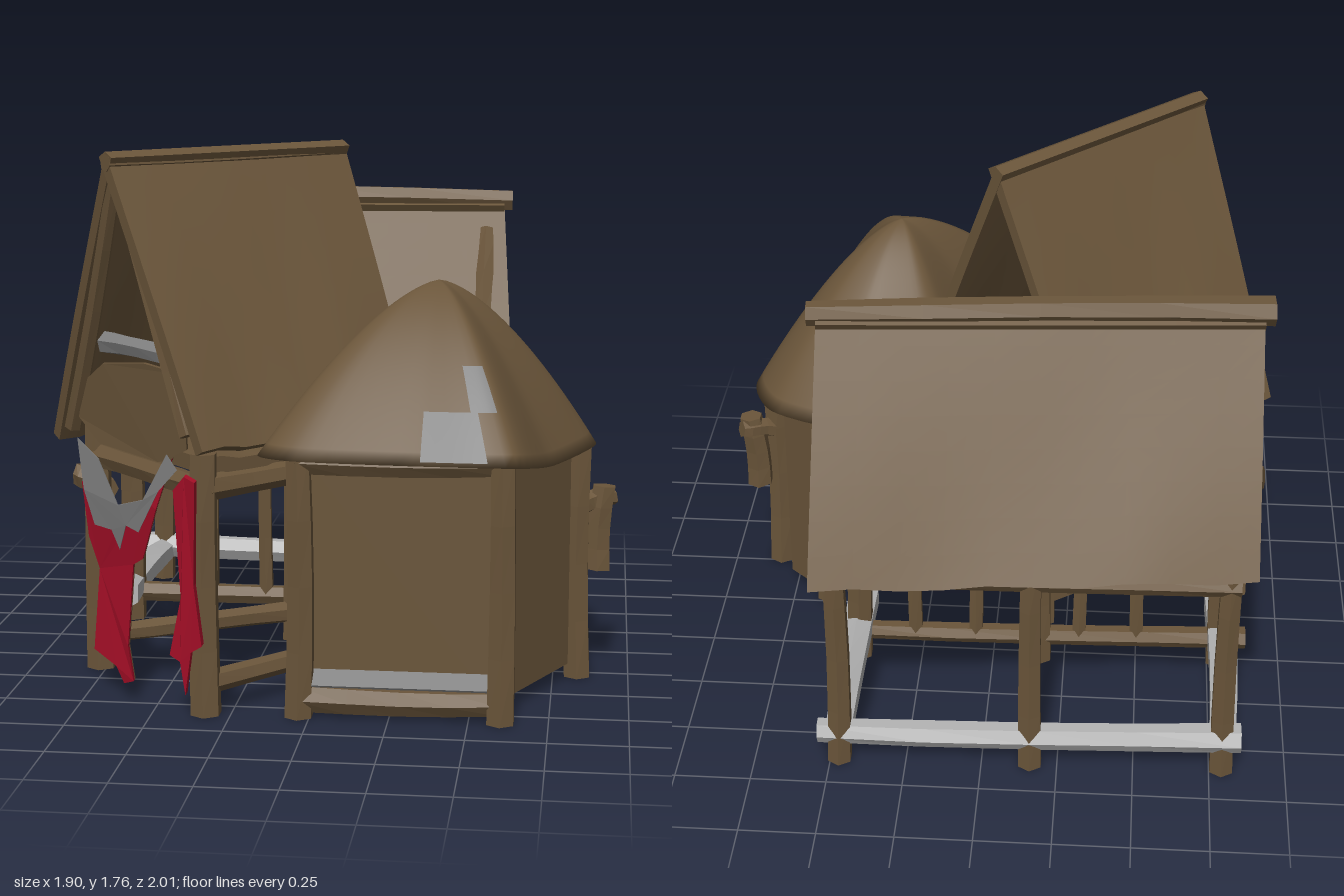
import * as THREE from 'three';

const flat = (name, color, extra = {}) => {
  const m = new THREE.MeshStandardMaterial({ color, ...extra });
  m.name = name;
  return m;
};
const V = (p) => new THREE.Vector3(...p);

export function createModel() {
  const model = new THREE.Group();
  model.name = 'village';
  const wood = flat('brown', 0x6a553a);
  const thatch = flat('thatch brown', 0x6a553a, { side: THREE.DoubleSide });
  const red = flat('red cloth', 0xa80f28, { side: THREE.DoubleSide });
  const grey = flat('grey cloth', 0x808080, { side: THREE.DoubleSide });
  const pale = flat('pale grey', 0xb4b4b4);

  const add = (parent, name, geo, mat) => {
    const mesh = new THREE.Mesh(geo, mat);
    mesh.name = name;
    parent.add(mesh);
    return mesh;
  };
  const part = (name) => {
    const g = new THREE.Group();
    g.name = name;
    model.add(g);
    return g;
  };

  // Rough timber between two points, slightly swollen and bent
  const beam = (parent, name, a, b, r, mat = wood) => {
    const A = V(a), dir = V(b).sub(A), len = dir.length();
    const geo = new THREE.CylinderGeometry(r * 0.92, r * 1.08, len, 6, 4).toNonIndexed();
    const p = geo.attributes.position;
    for (let i = 0; i < p.count; i++) {
      const t = p.getY(i) / len + 0.5;
      const bend = Math.sin(t * Math.PI) * r * 0.2 * Math.sin(a[0] * 17 + a[2] * 11);
      p.setX(i, p.getX(i) + bend);
      p.setZ(i, p.getZ(i) * (1 + 0.08 * Math.cos(t * 9)));
    }
    geo.computeVertexNormals();
    const mesh = add(parent, name, geo, mat);
    mesh.position.copy(A).addScaledVector(dir, 0.5);
    mesh.quaternion.setFromUnitVectors(new THREE.Vector3(0, 1, 0), dir.normalize());
    return mesh;
  };

  // Slightly wavy roof slab: a-b is the ridge, c-d the eave
  const slab = (parent, name, a, b, c, d, th, wave = 0.008) => {
    const [A, B, C, D] = [a, b, c, d].map(V);
    const n = C.clone().sub(A).cross(B.clone().sub(A)).normalize();
    const geo = new THREE.BoxGeometry(1, 1, 1, 10, 1, 8);
    const p = geo.attributes.position;
    for (let i = 0; i < p.count; i++) {
      const u = p.getX(i) + 0.5, v = p.getZ(i) + 0.5;
      const top = A.clone().lerp(B, u), low = C.clone().lerp(D, u);
      const lift = (p.getY(i) - 0.5) * th + wave * v * Math.sin(u * 7 + v * 3);
      top.lerp(low, v).addScaledVector(n, lift);
      top.y += v * wave * Math.sin(u * 19);
      p.setXYZ(i, top.x, top.y, top.z);
    }
    geo.computeVertexNormals();
    return add(parent, name, geo, wood);
  };

  // ---- Long open barn at the back ----
  const barn = part('barn');
  const ridgeL = [-0.86, 1.52, -0.48], ridgeR = [0.53, 1.52, -0.57];
  slab(barn, 'barnRoofFront', ridgeL, ridgeR, [-0.84, 0.79, -0.01], [0.59, 0.81, -0.14], 0.05);
  slab(barn, 'barnRoofBack', ridgeR, ridgeL, [0.53, 0.76, -1.0], [-0.87, 0.8, -0.91], 0.05);
  beam(barn, 'barnRidgePole', [-0.89, 1.52, -0.475], [0.56, 1.51, -0.57], 0.043);
  const front = (x) => -0.28 - 0.03 * x, back = (x) => -0.86 - 0.02 * x;
  for (const x of [-0.79, -0.16, 0.47]) {
    beam(barn, 'barnPost', [x, 0, front(x)], [x, 0.95, front(x)], 0.045);
    beam(barn, 'barnPost', [x, 0, back(x)], [x, 0.84, back(x)], 0.04);
    beam(barn, 'barnTieBeam', [x, 0.69, front(x)], [x, 0.73, back(x)], 0.052);
  }
  for (const x of [-0.5, -0.3, 0.06, 0.27]) {
    beam(barn, 'barnThinPost', [x, 0.1, front(x)], [x, 0.95, front(x)], 0.025);
  }
  for (const x of [-0.79, 0.47]) {
    const zr = -0.51 - 0.05 * x;
    beam(barn, 'barnSideSill', [x, 0.13, front(x) + 0.16], [x, 0.11, back(x)], 0.054, pale);
    for (const dz of [0.37, -0.37]) {
      beam(barn, 'barnRafter', [x, 0.79, zr + dz], [x, 1.4, zr], 0.055);
      beam(barn, 'barnBrace', [x, 0.78, zr + dz * 0.8], [x, 1.22, zr + dz * 0.2], 0.035);
    }
  }
  beam(barn, 'barnBackSill', [-0.85, 0.13, back(-0.8)], [0.54, 0.11, back(0.5)], 0.045, pale);
  beam(barn, 'barnFrontSill', [-0.88, 0.1, front(-0.8)], [0.5, 0.1, front(0.5)], 0.035);
  beam(barn, 'barnFrontPlate', [-0.82, 0.76, front(-0.8)], [0.52, 0.76, front(0.5)], 0.04);
  beam(barn, 'barnBackPlate', [-0.82, 0.74, back(-0.8)], [0.52, 0.74, back(0.5)], 0.035);
  // Grey patch on both faces of the front slope
  for (const side of [0.006, -0.056]) {
    const patch = add(barn, 'barnRoofPatch', new THREE.BoxGeometry(0.08, 0.008, 0.1), grey);
    patch.position.set(0.35, 0.94 + side * 0.51, -0.2 + side * 0.86);
    patch.rotation.x = 1.03;
  }

  // ---- Tall steep-roofed house, set diagonally ----
  const house = part('tallHouse');
  const hF = [-0.66, 1.76, 0.67], hB = [0.01, 1.76, 0.0];
  slab(house, 'houseRoofRight', hF, hB, [-0.31, 0.87, 0.96], [0.29, 0.87, 0.28], 0.04);
  slab(house, 'houseRoofLeft', hB, hF, [-0.33, 0.85, -0.3], [-0.95, 0.78, 0.25], 0.04);
  beam(house, 'houseRidge', [-0.66, 1.725, 0.67], [0.01, 1.725, 0.0], 0.026);
  const feet = [[-0.77, 0.36], [-0.33, 0.83], [0.15, 0.32], [-0.16, -0.05]];
  feet.forEach(([x, z], i) => {
    const [nx, nz] = feet[(i + 1) % 4];
    beam(house, 'housePost', [x, 0, z], [x, 0.84, z], 0.048);
    beam(house, 'housePlate', [x, 0.73, z], [nx, 0.73, nz], 0.04);
    if (i !== 0) beam(house, 'houseSill', [x, 0.1, z], [nx, 0.11, nz], 0.035);
  });
  beam(house, 'gableTie', [-0.72, 1.12, 0.42], [-0.4, 1.12, 0.74], 0.035, grey);
  beam(house, 'gableTieBack', [-0.24, 1.12, -0.1], [0.13, 1.12, 0.22], 0.035);
  beam(house, 'gableRafter', [-0.86, 0.82, 0.33], [-0.64, 1.66, 0.64], 0.028);
  beam(house, 'gableRafter', [-0.37, 0.9, 0.86], [-0.62, 1.66, 0.65], 0.028);
  slab(house, 'loft', [-0.78, 0.82, 0.34], [-0.16, 0.82, -0.05], [-0.33, 0.82, 0.83], [0.15, 0.82, 0.32], 0.05);
  beam(house, 'postStub', [-0.77, 0.58, 0.2], [-0.84, 0.58, 0.06], 0.03);
  beam(house, 'postStubEnd', [-0.84, 0.58, 0.035], [-0.925, 0.59, 0.02], 0.045);

  // Cloth cut in the front outline and slanted along the gable
  const cloth = (name, pts, depth, offset, mat) => {
    const shape = new THREE.Shape(pts.map(([x, y]) => new THREE.Vector2(x, y)));
    const geo = new THREE.ExtrudeGeometry(shape, { depth, bevelEnabled: false });
    const p = geo.attributes.position;
    for (let i = 0; i < p.count; i++) {
      p.setZ(i, p.getZ(i) + offset + 1.26 + 0.94 * p.getX(i) + 0.015 * Math.sin(p.getY(i) * 12));
    }
    geo.computeVertexNormals();
    add(house, name, geo, mat);
  };
  const leftCurtain = [[-0.78, 0.68], [-0.76, 0.5], [-0.72, 0.4], [-0.74, 0.13], [-0.65, 0.1], [-0.62, 0.05],
    [-0.58, 0.07], [-0.6, 0.18], [-0.58, 0.45], [-0.54, 0.48], [-0.48, 0.66], [-0.42, 0.83], [-0.52, 0.68],
    [-0.62, 0.6], [-0.7, 0.64]];
  const rightCurtain = [[-0.41, 0.74], [-0.37, 0.79], [-0.33, 0.78], [-0.34, 0.45], [-0.31, 0.27], [-0.35, 0.24],
    [-0.37, 0.1], [-0.39, 0.2], [-0.43, 0.21], [-0.39, 0.4]];
  cloth('leftCurtain', leftCurtain, 0.02, 0, red);
  cloth('leftCurtainLining', leftCurtain, 0.008, -0.012, thatch);
  cloth('rightCurtain', rightCurtain, 0.04, 0, red);
  cloth('swag', [[-0.8, 0.82], [-0.71, 0.77], [-0.63, 0.64], [-0.53, 0.68], [-0.44, 0.84], [-0.4, 0.8],
    [-0.47, 0.72], [-0.55, 0.57], [-0.6, 0.58], [-0.63, 0.49], [-0.66, 0.55], [-0.73, 0.55], [-0.77, 0.66]],
    0.008, 0.02, grey);
  // Arched panel behind the gable with a red band on its inner side
  cloth('valance', [[-0.83, 0.86], [-0.74, 0.79], [-0.5, 0.78], [-0.39, 0.84], [-0.4, 1.08], [-0.55, 1.09],
    [-0.72, 1.06], [-0.81, 0.98]], 0.025, -0.12, thatch);
  cloth('valanceBand', [[-0.77, 0.99], [-0.45, 1.02], [-0.45, 1.07], [-0.7, 1.05]], 0.006, -0.128, red);

  // ---- Round-roofed hut ----
  const hut = part('hut');
  const outline = [[-0.16, 0.82], [-0.04, 0.92], [0.33, 0.95], [0.65, 0.95], [0.75, 0.6], [0.88, 0.24], [0.8, 0.04],
    [0.55, -0.06], [0.22, 0], [0.13, 0.12], [0.04, 0.45]];
  const eave = new THREE.CatmullRomCurve3(outline.map(([x, z], i) =>
    new THREE.Vector3(x, 0.84 - 0.06 * (i > 3 && i < 9), z)), true, 'catmullrom', 0.35);
  const peak = new THREE.Vector3(0.37, 1.345, 0.44);
  const roofPoint = (u, t, lift) => {
    const e = eave.getPoint(u % 1), q = peak.clone().lerp(e, Math.min(t, 1));
    q.y = e.y + (peak.y - e.y) * (1 - Math.pow(Math.min(t, 1), 1.52)) + lift;
    q.z += lift;
    if (t > 1) q.lerp(new THREE.Vector3(peak.x, e.y + 0.02, peak.z), (t - 1) * 2);
    return q;
  };
  const roofGrid = (u0, u1, t0, t1, nu, nt, lift) => {
    const pos = [], idx = [];
    for (let j = 0; j <= nt; j++) for (let i = 0; i <= nu; i++) {
      const t = t0 + (t1 - t0) * j / nt;
      pos.push(...roofPoint(u0 + (u1 - u0) * i / nu, t, lift).toArray());
      if (i < nu && j < nt) {
        const k = j * (nu + 1) + i, m = k + nu + 1;
        idx.push(k, m, k + 1, k + 1, m, m + 1);
      }
    }
    const geo = new THREE.BufferGeometry();
    geo.setAttribute('position', new THREE.Float32BufferAttribute(pos, 3));
    geo.setIndex(idx);
    geo.computeVertexNormals();
    return geo;
  };
  add(hut, 'hutRoof', roofGrid(0, 1, 0, 1.1, 66, 22, 0), thatch);
  // Worn grey patch, wide at the eave and narrow above
  add(hut, 'roofPatchLow', roofGrid(0.19, 0.242, 0.8, 0.99, 8, 6, 0.006), grey);
  add(hut, 'roofPatchHigh', roofGrid(0.235, 0.265, 0.6, 0.8, 5, 6, 0.006), grey);

  // Walls from a ground plan
  const plan = new THREE.Shape([[-0.02, 0.79], [0.58, 0.79], [0.8, 0.32], [0.77, 0.12], [0.66, 0.02], [0.3, 0.05],
    [0.1, 0.4]].map(([x, z]) => new THREE.Vector2(x, -z)));
  const walls = new THREE.ExtrudeGeometry(plan, { depth: 0.78, bevelEnabled: false });
  walls.rotateX(-Math.PI / 2).translate(0, 0.05, 0);
  add(hut, 'hutWalls', walls, wood);
  for (const [x, z, h] of [[-0.035, 0.82, 0.85], [0.6, 0.82, 0.85], [0.83, 0.28, 0.78], [0.62, 0.04, 0.78]]) {
    beam(hut, 'hutPost', [x, 0, z], [x, h, z], 0.045);
  }
  beam(hut, 'hutSill', [-0.04, 0.06, 0.81], [0.6, 0.06, 0.81], 0.045);
  beam(hut, 'hutLintel', [-0.04, 0.82, 0.81], [0.6, 0.82, 0.81], 0.04);
  const strip = add(hut, 'sillTop', new THREE.BoxGeometry(0.56, 0.008, 0.07), grey);
  strip.position.set(0.28, 0.125, 0.815);
  strip.rotation.x = 0.6;
  beam(hut, 'wallBracket', [0.89, 0.36, 0.24], [0.91, 0.64, 0.23], 0.045);
  beam(hut, 'bracketPeg', [0.84, 0.58, 0.26], [0.94, 0.6, 0.2], 0.035);
  return model;
}
